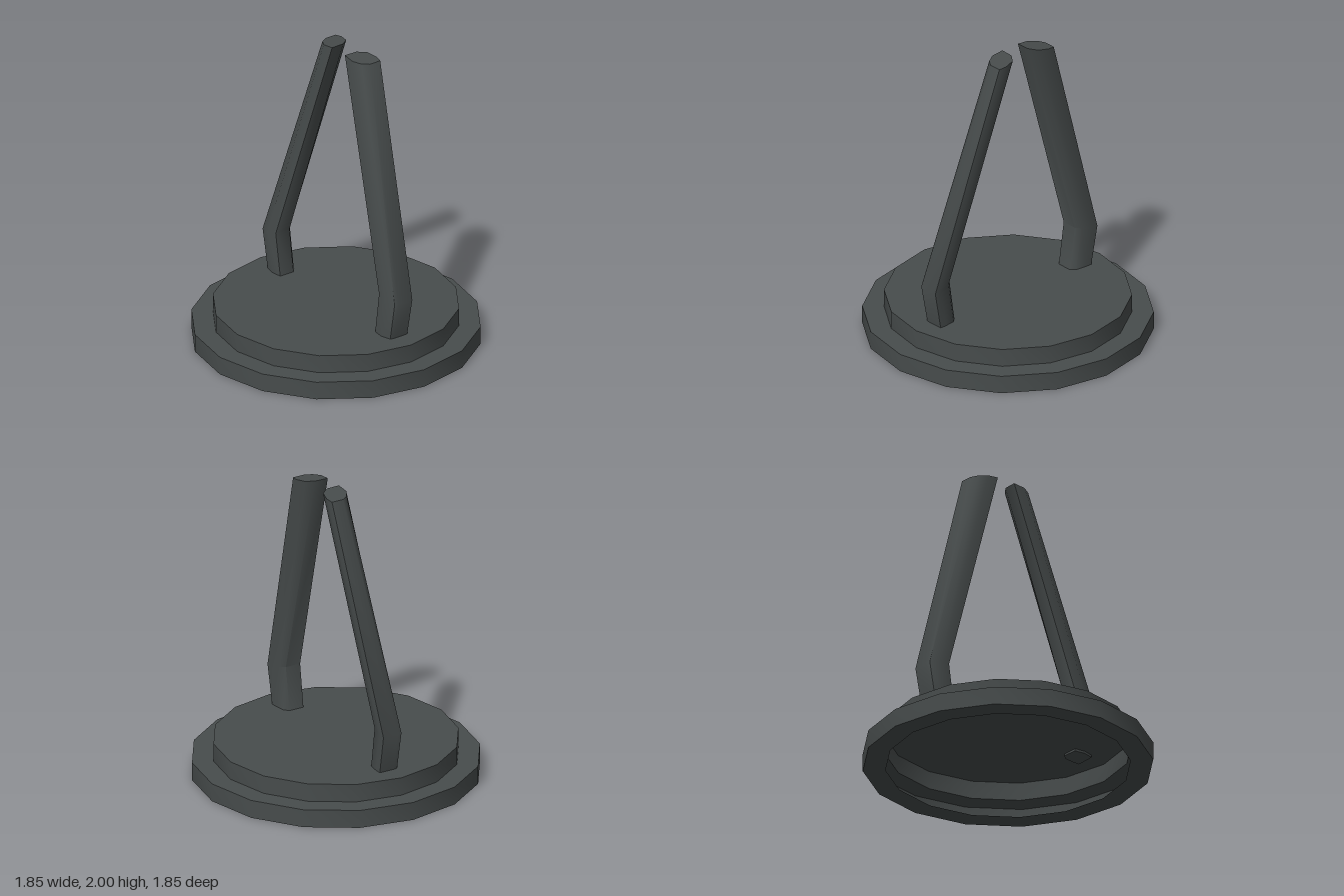
import * as THREE from 'three';
import { toCreasedNormals } from 'three/addons/utils/BufferGeometryUtils.js';

const charcoal = new THREE.MeshStandardMaterial({ color: 0x474c4c, side: THREE.DoubleSide });
charcoal.name = 'charcoal';

// Eight-sided skewed cross-sections as [x, z] offsets from the arm's centre line
const LOWER = [[-0.078, 0.07], [-0.08, -0.04], [-0.045, -0.07], [0.03, -0.08],
  [0.08, -0.08], [0.08, 0.03], [0.075, 0.06], [0, 0.08]];
const UPPER = [[-0.083, 0.08], [-0.08, -0.01], [-0.04, -0.065], [0.035, -0.083],
  [0.083, -0.075], [0.083, 0.008], [0.055, 0.052], [0, 0.083]];

// Stations along the arm: centre, tilt of the cut (dy/dx), section and scale
const STATIONS = [
  { c: [0.568, 0.225, 0], tilt: 0, section: LOWER, s: 0.94 },
  { c: [0.617, 0.512, 0], tilt: -0.16, section: LOWER, s: 0.98 },
  { c: [0.15, 1.99, -0.1], tilt: -0.12, section: UPPER, s: 1 },
];

function armGeometry(side) {
  const points = [], index = [], n = LOWER.length;
  const tri = (a, b, c) => (side > 0 ? index.push(a, b, c) : index.push(a, c, b));
  for (const { c, tilt, section, s } of STATIONS) {
    for (const [dx, dz] of section) {
      points.push(side * (c[0] + dx * s), c[1] + dx * tilt, c[2] + dz * s);
    }
  }
  // Side walls
  for (let j = 0; j < STATIONS.length - 1; j++) {
    for (let i = 0; i < n; i++) {
      const a = j * n + i, b = j * n + (i + 1) % n;
      tri(a, a + n, b);
      tri(b, a + n, b + n);
    }
  }
  // End caps
  const top = (STATIONS.length - 1) * n;
  for (let i = 1; i < n - 1; i++) {
    tri(0, i, i + 1);
    tri(top, top + i + 1, top + i);
  }
  const geometry = new THREE.BufferGeometry();
  geometry.setAttribute('position', new THREE.Float32BufferAttribute(points, 3));
  geometry.setIndex(index);
  return toCreasedNormals(geometry, 0.9);
}

export function createModel() {
  const model = new THREE.Group();
  model.name = 'armStand';

  // Hollow two-step base: bottom rim, lower step, upper step and deck
  const profile = [[0.78, 0], [0.925, 0], [0.925, 0.12], [0.787, 0.12], [0.787, 0.24], [0, 0.24]]
    .map(([x, y]) => new THREE.Vector2(x, y));
  const base = new THREE.Mesh(toCreasedNormals(new THREE.LatheGeometry(profile, 16), 0.7), charcoal);
  base.name = 'steppedBase';
  model.add(base);

  // Pair of bent arms leaning inward and back
  for (const side of [1, -1]) {
    const arm = new THREE.Mesh(armGeometry(side), charcoal);
    arm.name = side > 0 ? 'leftArm' : 'rightArm';
    model.add(arm);
  }
  return model;
}
